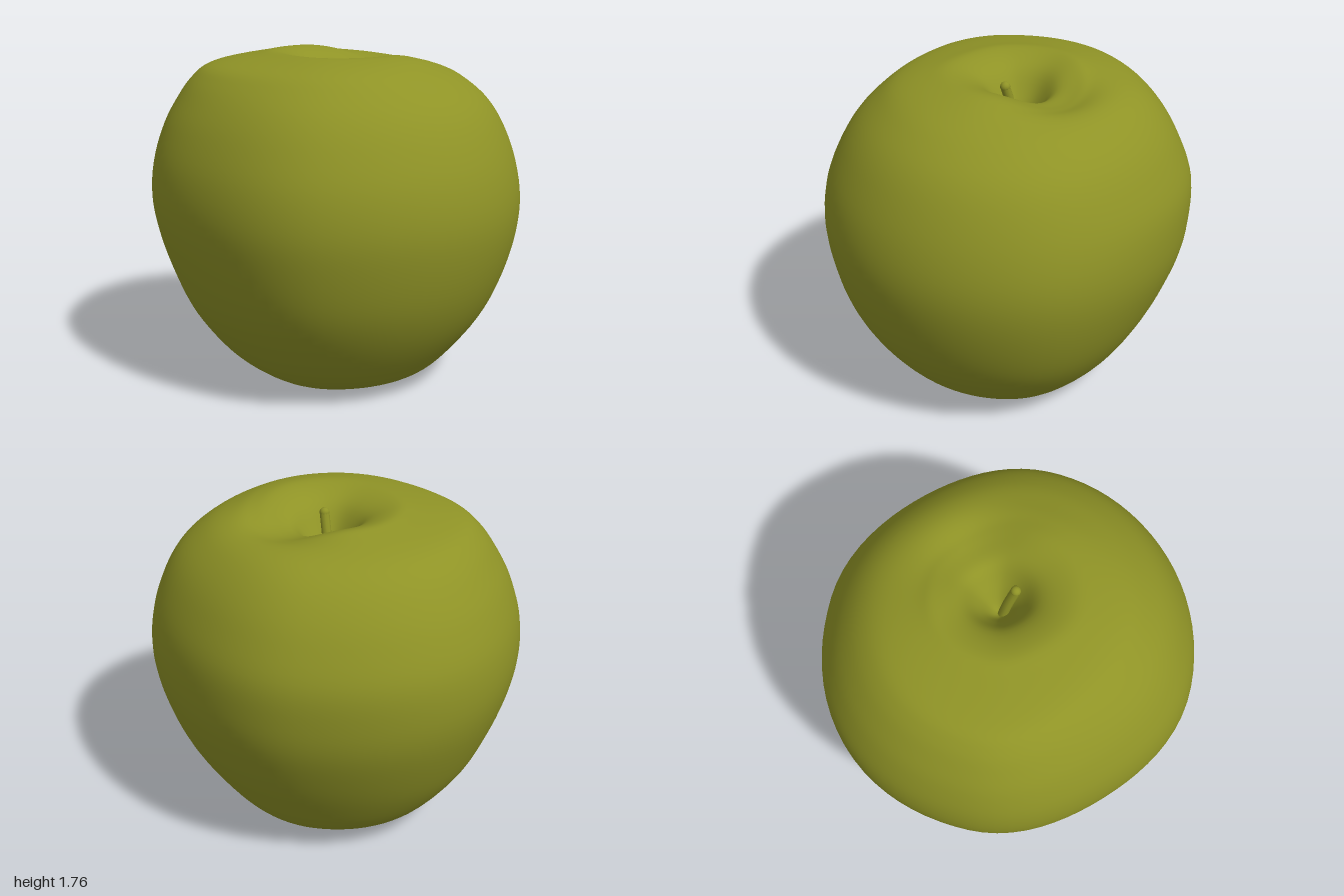
import * as THREE from 'three';
import { mergeVertices } from 'three/addons/utils/BufferGeometryUtils.js';

const skin = new THREE.MeshStandardMaterial({ color: 0x8f9326 });
skin.name = 'olive green skin';

// Heights of the profile, from the bottom hollow over the sides to the stem hollow
const heights = [0.2, 0.18, 0.09, 0.025, 0.01, 0.07, 0.18, 0.37, 0.57, 0.8, 1.0, 1.2, 1.39, 1.53, 1.64, 1.71, 1.757, 1.768, 1.71, 1.59, 1.48, 1.45];
const hollowBottom = [0, 0.1, 0.2, 0.29];
const hollowTop = [0.44, 0.33, 0.2, 0.11, 0.04, 0];
// Radii of the sides towards +x, +z, -x and -z
const sides = [
  [0.40, 0.54, 0.66, 0.81, 0.91, 0.98, 1.00, 0.97, 0.90, 0.81, 0.68, 0.55],
  [0.38, 0.54, 0.67, 0.81, 0.91, 0.97, 0.99, 0.96, 0.88, 0.79, 0.68, 0.58],
  [0.36, 0.50, 0.64, 0.79, 0.885, 0.965, 1.00, 0.985, 0.925, 0.85, 0.77, 0.67],
  [0.40, 0.52, 0.65, 0.77, 0.87, 0.955, 0.985, 0.98, 0.91, 0.83, 0.73, 0.61],
];
// Fullness of the four diagonals between those directions
const diagonals = [0, -0.055, 0.03, -0.045];

const profiles = sides.map((side) => new THREE.SplineCurve(
  [...hollowBottom, ...side, ...hollowTop].map((r, i) => new THREE.Vector2(r, heights[i]))));

function bodyPoint(t, angle) {
  const quarter = Math.floor(angle / (Math.PI / 2)) % 4;
  const a = profiles[quarter].getPoint(t);
  const b = profiles[(quarter + 1) % 4].getPoint(t);
  const p = a.lerp(b, Math.sin(angle - quarter * Math.PI / 2) ** 2);
  let y = p.y;
  const r = Math.max(0, p.x) * (1 + diagonals[quarter] * Math.sin(2 * angle) ** 2);
  if (y > 1.3) {
    // low lip of the stem hollow at the back left
    const lip = Math.max(0, Math.cos(angle + Math.PI / 4)) ** 3;
    y -= 0.1 * lip * Math.exp(-(((r - 0.33) / 0.17) ** 2));
  } else if (y < 0.3) {
    // five soft lobes in the bottom hollow
    y += 0.02 * (1 - Math.cos(5 * angle + 0.6)) * Math.exp(-(((r - 0.22) / 0.09) ** 2));
  }
  // the stem hollow lies slightly off centre
  const shift = y > 1.3 ? Math.exp(-((r / 0.4) ** 4)) : 0;
  return [r * Math.cos(angle) + 0.02 * shift, y, r * Math.sin(angle) - 0.06 * shift];
}

function bodyGeometry(rows = 96, columns = 80) {
  const positions = [], index = [];
  for (let i = 0; i <= rows; i++) {
    for (let j = 0; j < columns; j++) {
      positions.push(...bodyPoint(i / rows, j / columns * Math.PI * 2));
      if (i === rows) continue;
      const a = i * columns + j, b = i * columns + (j + 1) % columns;
      index.push(a, a + columns, b, b, a + columns, b + columns);
    }
  }
  let geometry = new THREE.BufferGeometry();
  geometry.setAttribute('position', new THREE.Float32BufferAttribute(positions, 3));
  geometry.setIndex(index);
  geometry = mergeVertices(geometry, 1e-5);
  geometry.computeVertexNormals();
  return geometry;
}

export function createModel() {
  const model = new THREE.Group();
  model.name = 'apple';

  const body = new THREE.Mesh(bodyGeometry(), skin);
  body.name = 'body';
  model.add(body);

  // Short stem leaning to the front, with a rounded tip
  const path = new THREE.CatmullRomCurve3([
    new THREE.Vector3(0.02, 1.42, -0.05),
    new THREE.Vector3(0.035, 1.57, -0.02),
    new THREE.Vector3(0.055, 1.7, 0.015),
  ]);
  const stem = new THREE.Mesh(new THREE.TubeGeometry(path, 10, 0.026, 10), skin);
  stem.name = 'stem';
  const tip = new THREE.Mesh(new THREE.SphereGeometry(0.027, 12, 8), skin);
  tip.name = 'stemTip';
  tip.position.set(0.055, 1.7, 0.015);
  model.add(stem, tip);

  return model;
}
